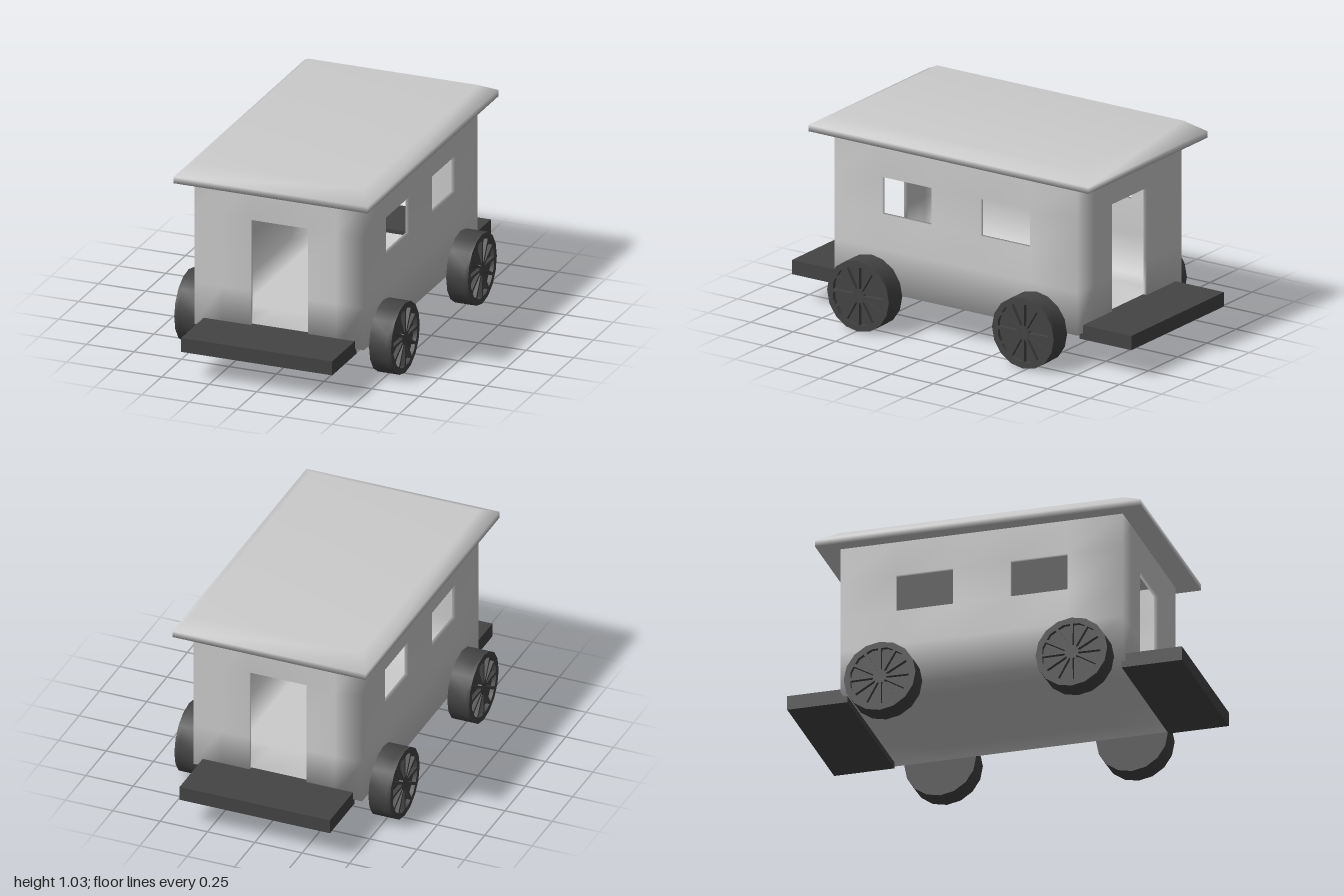
import * as THREE from 'three';
import { mergeVertices, mergeGeometries, toCreasedNormals } from 'three/addons/utils/BufferGeometryUtils.js';

const grey = new THREE.MeshStandardMaterial({ color: 0xcccccc });
const dark = new THREE.MeshStandardMaterial({ color: 0x444444 });

const HX = 0.445, HZ = 0.715, Y0 = 0.18, Y1 = 0.95, T = 0.02;

// Smooth-shaded geometry from a list of quads (corners counter-clockwise)
function fromQuads(quads) {
  const pos = [];
  for (const [a, b, c, d] of quads) pos.push(...a, ...b, ...c, ...a, ...c, ...d);
  let g = new THREE.BufferGeometry();
  g.setAttribute('position', new THREE.Float32BufferAttribute(pos, 3));
  g = mergeVertices(g, 1e-4);
  g.computeVertexNormals();
  return g;
}

// Inner skin point belonging to an outer skin point
const clamp = THREE.MathUtils.clamp;
const inner = ([x, y, z]) => [clamp(x, -HX + T, HX - T), Math.max(y, Y0 + T), clamp(z, -HZ + T, HZ - T)];

// Double-skinned panel with openings and their reveals
function panel(quads, us, vs, place, isOpen = () => false) {
  const nu = us.length - 1, nv = vs.length - 1;
  const open = (i, j) => i >= 0 && j >= 0 && i < nu && j < nv && isOpen(i, j);
  for (let i = 0; i < nu; i++) for (let j = 0; j < nv; j++) {
    if (open(i, j)) continue;
    const c = [place(us[i], vs[j]), place(us[i + 1], vs[j]), place(us[i + 1], vs[j + 1]), place(us[i], vs[j + 1])];
    quads.push(c, c.map(inner).reverse());
    [[0, -1], [1, 0], [0, 1], [-1, 0]].forEach(([di, dj], k) => {
      if (!open(i + di, j + dj)) return;
      const p = c[k], q = c[(k + 1) % 4];
      quads.push([p, inner(p), inner(q), q]);
    });
  }
}

function bodyGeometry() {
  const quads = [];
  const xs = [-HX, -0.3, -0.15, 0.15, 0.3, HX];
  const zs = [-HZ, -0.435, -0.145, 0.145, 0.435, HZ];
  const ys = [Y0, 0.4, 0.58, 0.77, Y1];
  const door = (i, j) => i === 2 && j < 3;
  const windows = (i, j) => (i === 1 || i === 3) && j === 2;
  for (const s of [1, -1]) {
    panel(quads, xs, ys, (u, v) => [s * u, v, s * HZ], door);
    panel(quads, zs, ys, (u, v) => [s * HX, v, -s * u], windows);
  }
  panel(quads, xs, zs, (u, v) => [u, Y0, v]); // floor
  return fromQuads(quads);
}

// Roof slab with sloping edges, from three rectangular rings
function roofGeometry() {
  const ring = (x, y, z) => [[-x, y, z], [x, y, z], [x, y, -z], [-x, y, -z]];
  const rings = [ring(0.51, 0.947, 0.825), ring(0.51, 0.98, 0.825), ring(0.447, 1.033, 0.725)];
  const quads = [[...rings[0]].reverse(), rings[2]];
  for (let r = 0; r < 2; r++) for (let k = 0; k < 4; k++) {
    const n = (k + 1) % 4;
    quads.push([rings[r][k], rings[r][n], rings[r + 1][n], rings[r + 1][k]]);
  }
  return fromQuads(quads);
}

// Wheel along x, outer face towards +x, with sunken gaps between twelve spokes
function wheelGeometry() {
  const R = 0.182, width = 0.115, recess = 0.02, sides = 16, spokes = 12;
  const polar = (r, a) => new THREE.Vector2(r * Math.cos(a), r * Math.sin(a));
  const face = new THREE.Shape(Array.from({ length: sides }, (_, i) => polar(R, i * 2 * Math.PI / sides)));
  for (let i = 0; i < spokes; i++) {
    const a = (i + 0.5) * 2 * Math.PI / spokes;
    face.holes.push(new THREE.Path([
      polar(0.035, a - 0.09), polar(0.148, a - 0.21), polar(0.152, a), polar(0.148, a + 0.21), polar(0.035, a + 0.09),
    ]));
  }
  const plate = new THREE.ExtrudeGeometry(face, { depth: recess, bevelEnabled: false });
  plate.rotateY(Math.PI / 2).translate(width / 2 - recess, 0, 0);
  const core = new THREE.CylinderGeometry(R, R, width - recess, sides).toNonIndexed();
  core.rotateZ(Math.PI / 2).translate(-recess / 2, 0, 0);
  return toCreasedNormals(mergeGeometries([plate, core]), Math.PI / 6);
}

export function createModel() {
  const model = new THREE.Group();
  const add = (name, geometry, material, x = 0, y = 0, z = 0) => {
    const mesh = new THREE.Mesh(geometry, material);
    mesh.name = name;
    mesh.position.set(x, y, z);
    model.add(mesh);
    return mesh;
  };

  add('body', bodyGeometry(), grey);
  add('roof', roofGeometry(), grey);

  // End platforms
  const step = new THREE.BoxGeometry(0.794, 0.073, 0.305);
  add('frontPlatform', step, dark, 0, 0.1835, 0.8475);
  add('backPlatform', step, dark, 0, 0.1835, -0.8475);

  // Wheels
  const wheel = wheelGeometry();
  for (const [end, z] of [['front', 0.492], ['back', -0.48]]) {
    add(end + 'LeftWheel', wheel, dark, 0.5125, 0.182, z);
    add(end + 'RightWheel', wheel, dark, -0.5125, 0.182, z).rotation.y = Math.PI;
  }
  return model;
}
